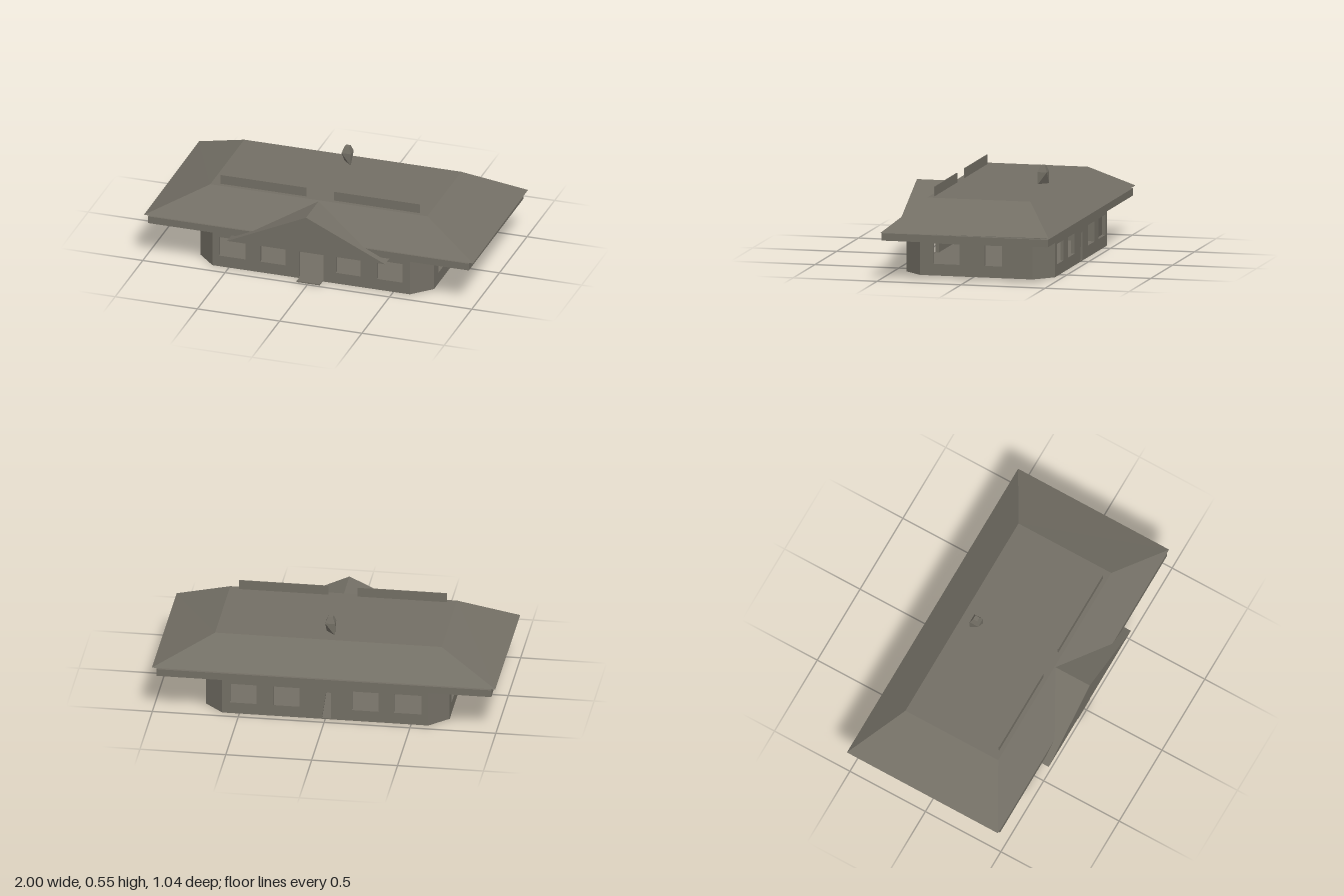
import * as THREE from 'three';
import { ConvexGeometry } from 'three/addons/geometries/ConvexGeometry.js';

export function createModel() {
  const model = new THREE.Group();
  const stone = new THREE.MeshStandardMaterial({ color: 0x736f65, flatShading: true });
  stone.name = 'stone';

  const add = (name, geometry) => {
    const mesh = new THREE.Mesh(geometry, stone);
    mesh.name = name;
    model.add(mesh);
    return mesh;
  };
  const box = (name, x0, x1, y0, y1, z0, z1) =>
    add(name, new THREE.BoxGeometry(x1 - x0, y1 - y0, z1 - z0))
      .position.set((x0 + x1) / 2, (y0 + y1) / 2, (z0 + z1) / 2);
  const shapeOf = (points) => new THREE.Shape(points.map(([x, y]) => new THREE.Vector2(x, y)));
  const extrude = (shape, depth) => new THREE.ExtrudeGeometry(shape, { depth, bevelEnabled: false });

  // Octagonal plan, listed anticlockwise from the front as [x, z]
  const plan = [
    [-0.6, 0.43], [0.6, 0.43], [0.71, 0.32], [0.71, -0.35],
    [0.6, -0.455], [-0.6, -0.455], [-0.71, -0.35], [-0.71, 0.32],
  ];

  // Floor slab
  add('floor', extrude(shapeOf(plan.map(([x, z]) => [x, -z])), 0.006).rotateX(-Math.PI / 2));

  // Walls: windows are [start, end] along the wall, the doorway is a notch in its outline
  const thickness = 0.02;
  const longWindows = [[0.04, 0.2], [0.29, 0.445], [0.75, 0.9], [1.0, 1.155]];
  const openings = {
    0: { name: 'frontWall', windows: longWindows, door: [[0.525, 0], [0.525, 0.2], [0.675, 0.2], [0.675, 0]] },
    2: { name: 'leftWall', windows: [[0.08, 0.235], [0.385, 0.49]] },
    4: {
      name: 'backWall', windows: longWindows.map(([a, b]) => [1.2 - b, 1.2 - a]),
      door: [[0.58, 0], [0.605, 0.17], [0.635, 0.17], [0.635, 0]],
    },
    6: { name: 'rightWall', windows: [[0.08, 0.235], [0.435, 0.59]] },
  };
  plan.forEach(([x0, z0], i) => {
    const [x1, z1] = plan[(i + 1) % plan.length];
    const length = Math.hypot(x1 - x0, z1 - z0);
    const { name = 'cornerWall', windows = [], door = [] } = openings[i] || {};
    const shape = shapeOf([[0, 0], ...door, [length, 0], [length, 0.237], [0, 0.237]]);
    for (const [a, b] of windows) {
      shape.holes.push(shapeOf([[a, 0.068], [a, 0.187], [b, 0.187], [b, 0.068]]));
    }
    const wall = add(name, extrude(shape, thickness).translate(0, 0, -thickness));
    wall.position.set(x0, 0, z0);
    wall.rotation.y = Math.atan2(z0 - z1, x1 - x0);
  });

  // Doorstep
  box('doorstep', -0.07, 0.07, 0, 0.007, 0.425, 0.485);

  // Eave band, with a recessed strip beneath the roof edge
  box('eaveBand', -0.975, 0.975, 0.235, 0.278, -0.51, 0.48);
  box('eaveRecess', -0.95, 0.95, 0.27, 0.292, -0.49, 0.455);

  // Hipped roof with a flat top: a box with its upper corners drawn in
  const roof = new THREE.BoxGeometry(2, 1, 1);
  const p = roof.attributes.position;
  for (let i = 0; i < p.count; i++) {
    const top = p.getY(i) > 0;
    const front = p.getZ(i) > 0;
    p.setXYZ(
      i,
      Math.sign(p.getX(i)) * (top ? 0.66 : 1),
      top ? 0.445 : front ? 0.284 : 0.291,
      front ? (top ? 0.29 : 0.48) : (top ? -0.325 : -0.52),
    );
  }
  roof.computeVertexNormals();
  add('roof', roof);

  // Front gable over the entrance
  const gable = shapeOf([[-0.48, 0.217], [0.48, 0.217], [0, 0.441]]);
  add('frontGable', extrude(gable, 0.23).translate(0, 0, 0.292));

  // Roof parapets, mirrored
  for (const s of [-1, 1]) {
    box('parapet', s * 0.345 - 0.26, s * 0.345 + 0.26, 0.44, 0.501, 0.26, 0.265);
  }

  // Faceted chimney standing on a diagonal edge
  const points = [new THREE.Vector3(0.028, 0.44, 0.028), new THREE.Vector3(-0.028, 0.44, -0.028)];
  for (const [r, y] of [[0.028, 0.515], [0.014, 0.553]]) {
    for (const x of [-r, r]) for (const z of [-r, r]) points.push(new THREE.Vector3(x, y, z));
  }
  add('chimney', new ConvexGeometry(points)).position.z = -0.23;

  return model;
}
